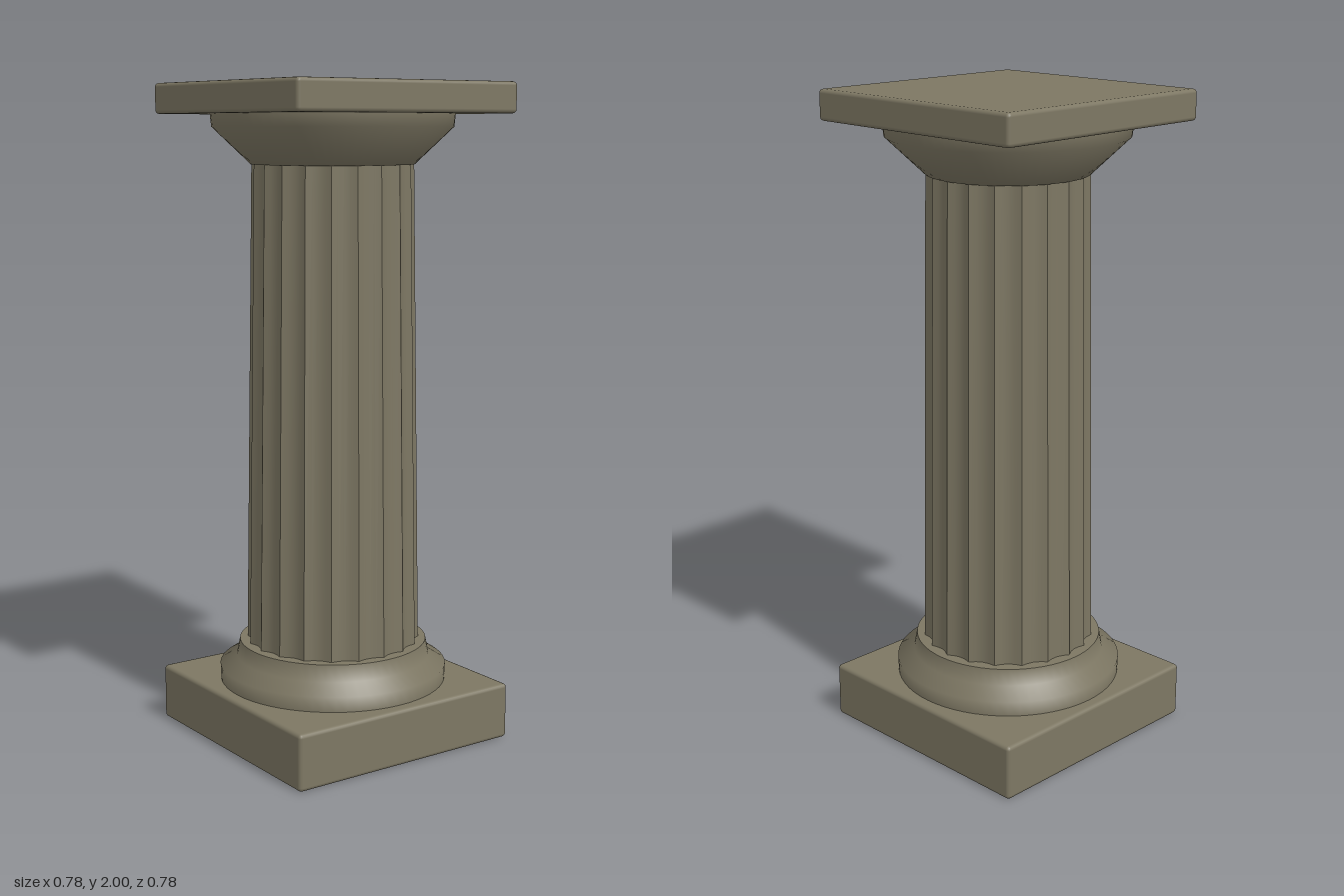
import * as THREE from 'three';
import { toCreasedNormals } from 'three/addons/utils/BufferGeometryUtils.js';
import { RoundedBoxGeometry } from 'three/addons/geometries/RoundedBoxGeometry.js';

const FLUTES = 20;
const STEPS = 4; // facets across each flute
const FLUTE_DEPTH = 0.055; // as a fraction of the shaft radius

export function createModel() {
  const group = new THREE.Group();
  const stone = new THREE.MeshStandardMaterial({ color: 0x7d7763 });
  stone.name = 'stone';

  const add = (name, geometry, y = 0) => {
    const mesh = new THREE.Mesh(geometry, stone);
    mesh.name = name;
    mesh.position.y = y;
    group.add(mesh);
  };

  // Square slab with softened edges, from y0 to y1
  const slab = (name, y0, y1) =>
    add(name, new RoundedBoxGeometry(0.776, y1 - y0, 0.776, 2, 0.012), (y0 + y1) / 2);

  // Round moulding turned from a profile, smooth except at its flat ends
  const moulding = (name, profile) => {
    const points = profile.map(([r, y]) => new THREE.Vector2(r, y));
    add(name, toCreasedNormals(new THREE.LatheGeometry(points, 64), 1.2));
  };

  slab('plinth', 0, 0.172);
  moulding('base', [[0, 0.165], [0.35, 0.165], [0.352, 0.218], [0.3, 0.247], [0.29, 0.297], [0, 0.297]]);

  // Tapered shaft: scoop a shallow hollow between sharp ridges
  const shaft = new THREE.CylinderGeometry(0.243, 0.267, 1.49, FLUTES * STEPS, 1);
  const pos = shaft.attributes.position;
  for (let i = 0; i < pos.count; i++) {
    const x = pos.getX(i), z = pos.getZ(i);
    const turn = (Math.atan2(x, z) / (Math.PI * 2) + 1) * FLUTES;
    const t = (Math.round(turn * STEPS) % STEPS) / STEPS;
    const scale = 1 - FLUTE_DEPTH * 4 * t * (1 - t);
    pos.setX(i, x * scale);
    pos.setZ(i, z * scale);
  }
  add('flutedShaft', toCreasedNormals(shaft, 0.6), 1.03);

  moulding('capital', [[0, 1.76], [0.245, 1.76], [0.361, 1.87], [0.365, 1.908], [0, 1.915]]);
  slab('abacus', 1.908, 2);

  return group;
}
